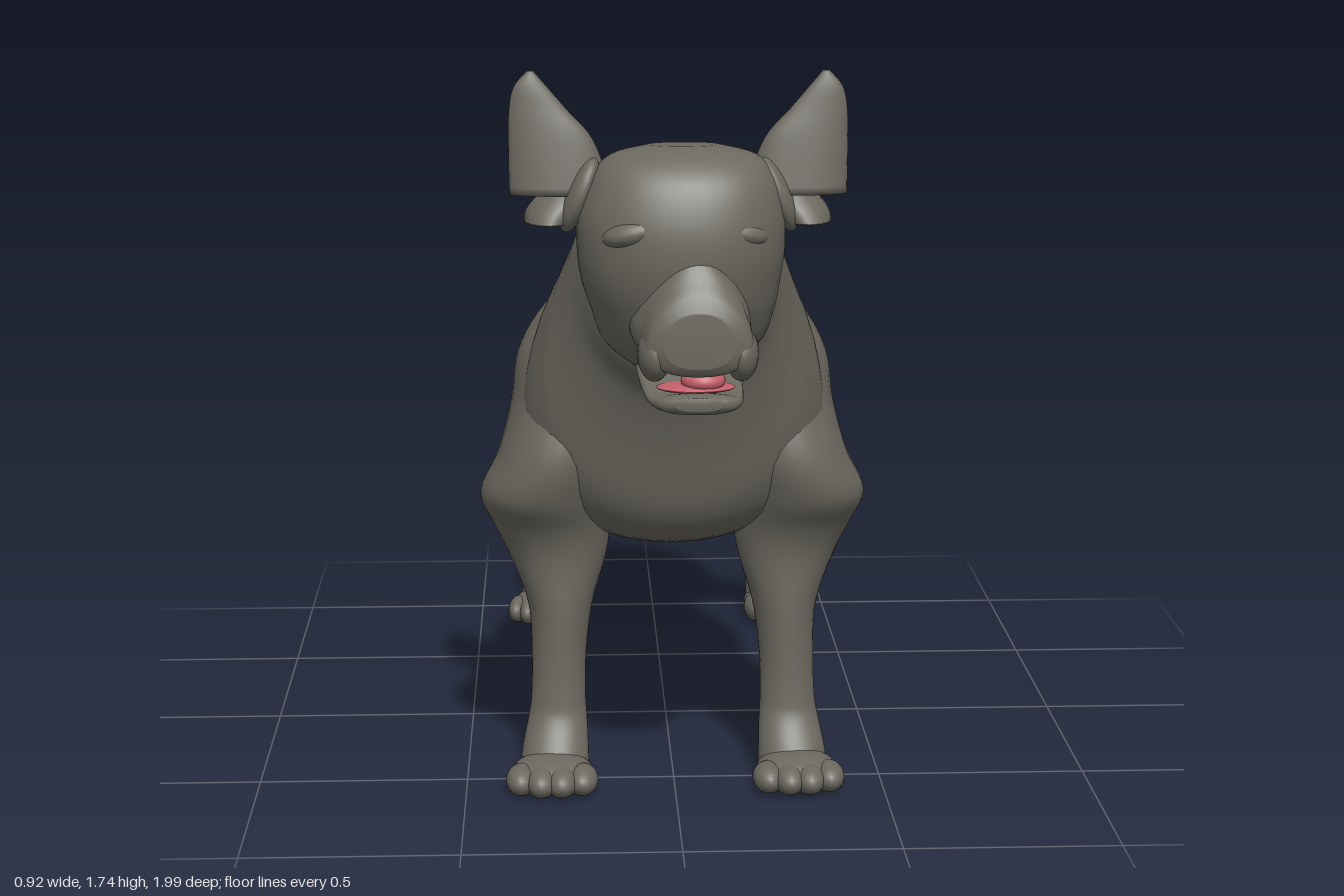
import * as THREE from 'three';

const coat = new THREE.MeshStandardMaterial({ color: 0x6b685f });
coat.name = 'coat';
const pink = new THREE.MeshStandardMaterial({ color: 0xc4606a });
pink.name = 'tonguePink';

// Catmull-Rom blend of one column of neighbouring rows
const blend = (a, b, c, d, t) =>
  0.5 * (2 * b + (c - a) * t + (2 * a - 5 * b + 4 * c - d) * t * t + (3 * b - a - 3 * c + d) * t * t * t);

// Smooth closed skin through cross-sections [position, centreX, halfWidth, high, low, taper].
// Axis 'z': rows run back to front, high/low are y. Axis 'y': rows run downwards, high/low are z.
function loft(axis, rows, { steps = 5, sides = 36, power = 1 } = {}) {
  const rings = [];
  const at = (i) => rows[Math.min(Math.max(i, 0), rows.length - 1)];
  for (let i = 0; i < rows.length - 1; i++) {
    for (let s = 0; s < steps; s++) {
      rings.push([0, 1, 2, 3, 4, 5].map((k) =>
        blend(at(i - 1)[k] ?? 0, at(i)[k] ?? 0, at(i + 1)[k] ?? 0, at(i + 2)[k] ?? 0, s / steps)));
    }
  }
  rings.push([0, 1, 2, 3, 4, 5].map((k) => at(rows.length)[k] ?? 0));

  const pos = [], index = [];
  const put = (x, q, p) => (axis === 'z' ? pos.push(x, q, p) : pos.push(x, p, q));
  const round = (v) => Math.sign(v) * Math.abs(v) ** power;
  for (const [p, cx, hw, hi, lo, taper] of rings) {
    for (let j = 0; j < sides; j++) {
      const t = (j / sides) * Math.PI * 2, c = round(Math.cos(t)), s = round(Math.sin(t));
      put(cx + hw * c * (1 - taper * s), (hi + lo) / 2 + ((hi - lo) / 2) * s, p);
    }
  }
  const last = rings.length - 1, poleA = rings.length * sides, poleB = poleA + 1;
  for (const r of [rings[0], rings[last]]) put(r[1], (r[3] + r[4]) / 2, r[0]);
  for (let j = 0; j < sides; j++) {
    const k = (j + 1) % sides;
    index.push(poleA, k, j, poleB, last * sides + j, last * sides + k);
    for (let i = 0; i < last; i++) {
      const a = i * sides + j, b = i * sides + k;
      index.push(a, b, a + sides, b, b + sides, a + sides);
    }
  }
  const geo = new THREE.BufferGeometry();
  geo.setAttribute('position', new THREE.Float32BufferAttribute(pos, 3));
  geo.setIndex(index);
  geo.computeVertexNormals();
  return geo;
}

function add(parent, name, geo, material = coat) {
  const mesh = new THREE.Mesh(geo, material);
  mesh.name = name;
  parent.add(mesh);
  return mesh;
}

function blob(parent, name, [x, y, z], [sx, sy, sz], material = coat) {
  const mesh = add(parent, name, new THREE.SphereGeometry(1, 24, 16), material);
  mesh.position.set(x, y, z);
  mesh.scale.set(sx, sy, sz);
  return mesh;
}

const mirror = (rows, side) => rows.map(([p, cx, ...rest]) => [p, cx * side, ...rest]);

// Paw: a flattened pad with four close-set toes
function paw(parent, name, x, z, width, turn) {
  const g = new THREE.Group();
  g.name = name;
  g.position.set(x, 0, z);
  g.rotation.y = turn;
  blob(g, 'pad', [0, 0.042, 0.01], [width * 0.88, 0.042, 0.095]);
  for (let i = 0; i < 4; i++) {
    const u = (i - 1.5) / 1.5;
    blob(g, 'toe', [u * width * 0.66, 0.036, 0.073 - 0.02 * u * u], [width * 0.34, 0.036, 0.06]);
  }
  parent.add(g);
}

export function createModel() {
  const dog = new THREE.Group();
  dog.name = 'dog';

  // Trunk, chest and neck
  add(dog, 'body', loft('z', [
    [-0.822, 0, 0.05, 1.02, 0.86], [-0.805, 0, 0.14, 1.08, 0.81], [-0.76, 0, 0.22, 1.14, 0.76],
    [-0.62, 0, 0.268, 1.2, 0.72], [-0.48, 0, 0.24, 1.225, 0.71], [-0.35, 0, 0.19, 1.233, 0.69],
    [-0.2, 0, 0.238, 1.215, 0.65], [0, 0, 0.332, 1.19, 0.58], [0.1, 0, 0.343, 1.205, 0.545],
    [0.2, 0, 0.338, 1.24, 0.537, 0.05], [0.35, 0, 0.355, 1.325, 0.55, 0.16], [0.5, 0, 0.345, 1.44, 0.6, 0.22],
    [0.58, 0, 0.31, 1.495, 0.68, 0.17], [0.63, 0, 0.272, 1.525, 0.84, 0.1], [0.68, 0, 0.24, 1.54, 0.97],
    [0.74, 0, 0.2, 1.55, 1.04], [0.8, 0, 0.12, 1.5, 1.15],
  ], { sides: 48, power: 0.95 }));
  blob(dog, 'sheath', [0, 0.69, -0.3], [0.035, 0.035, 0.07]).rotation.x = -0.45;

  // Docked tail
  add(dog, 'tailStub', loft('y', [
    [1.043, 0, 0.055, -0.81, -0.862], [1.025, 0, 0.058, -0.77, -0.848],
    [0.95, 0, 0.06, -0.77, -0.836], [0.89, 0, 0.045, -0.77, -0.838], [0.86, 0, 0.015, -0.79, -0.83],
  ]));

  // Head
  const head = new THREE.Group();
  head.name = 'head';
  dog.add(head);
  add(head, 'skull', loft('y', [
    [1.572, 0.01, 0.08, 0.79, 0.7], [1.55, 0.01, 0.165, 0.855, 0.65], [1.5, 0.01, 0.208, 0.908, 0.6],
    [1.42, 0.005, 0.232, 0.938, 0.57], [1.34, 0.005, 0.234, 0.945, 0.55], [1.27, 0.005, 0.225, 0.935, 0.54],
    [1.2, 0.01, 0.208, 0.91, 0.54], [1.12, 0.01, 0.175, 0.86, 0.57], [1.05, 0.005, 0.08, 0.78, 0.64],
  ], { power: 0.93 }));
  add(head, 'muzzle', loft('z', [
    [0.78, 0.01, 0.14, 1.38, 1.1], [0.87, 0.02, 0.125, 1.38, 1.1, 0.35], [0.93, 0.03, 0.113, 1.345, 1.092, 0.38],
    [0.965, 0.035, 0.114, 1.295, 1.09, 0.28], [0.985, 0.035, 0.108, 1.265, 1.09, 0.2],
    [1.0, 0.035, 0.075, 1.23, 1.11, 0.1],
  ], { power: 0.88 }));
  add(head, 'lowerJaw', loft('z', [
    [0.7, 0, 0.1, 1.12, 1.05], [0.8, 0.02, 0.115, 1.085, 1.035], [0.9, 0.03, 0.108, 1.045, 1.008],
    [0.96, 0.035, 0.09, 1.048, 1.0], [0.985, 0.035, 0.05, 1.042, 1.012],
  ], { power: 0.85 }));
  blob(head, 'tongue', [0.048, 1.066, 0.9], [0.05, 0.028, 0.05], pink);
  blob(head, 'mouthFloor', [0.032, 1.05, 0.895], [0.088, 0.01, 0.06], pink);
  blob(head, 'nose', [0.035, 1.222, 0.972], [0.06, 0.034, 0.027]);

  for (const side of [1, -1]) {
    const lean = side * 0.008;
    blob(head, 'brow', [0.01 + side * 0.112, 1.395, 0.866 - lean], [0.075, 0.035, 0.06]).rotation.z = -side * 0.25;
    blob(head, 'eye', [0.01 + side * 0.11, 1.35, 0.89], [0.032, 0.02, 0.03]);
    blob(head, 'upperLip', [0.035 + side * 0.096, 1.132, 0.925], [0.038, 0.062, 0.07]);
    blob(head, 'earFold', [side * 0.222, 1.46, 0.75], [0.03, 0.09, 0.06]).rotation.z = side * 0.4;

    // Upright ear blade with a drooping flap beneath it
    add(head, 'ear', loft('y', mirror([
      [1.735, 0.33, 0.007, 0.735, 0.72], [1.7, 0.33, 0.037, 0.745, 0.715], [1.65, 0.314, 0.064, 0.753, 0.712],
      [1.58, 0.285, 0.095, 0.764, 0.705], [1.46, 0.263, 0.116, 0.78, 0.695],
    ], side), { sides: 28 }));
    add(head, 'earFlap', loft('y', mirror([
      [1.475, 0.23, 0.06, 0.76, 0.65], [1.45, 0.25, 0.07, 0.77, 0.63],
      [1.42, 0.275, 0.068, 0.785, 0.605], [1.395, 0.29, 0.058, 0.795, 0.59],
    ], side), { sides: 24 }));

    // Front leg from shoulder blade to wrist
    add(dog, 'frontLeg', loft('y', mirror([
      [1.26, 0.12, 0.07, 0.47, 0.34], [1.15, 0.19, 0.115, 0.52, 0.27], [1.04, 0.23, 0.138, 0.55, 0.23],
      [0.92, 0.25, 0.136, 0.575, 0.22],
      [0.8, 0.28, 0.138, 0.6, 0.24], [0.7, 0.31, 0.152, 0.58, 0.245], [0.62, 0.292, 0.142, 0.53, 0.25],
      [0.54, 0.277, 0.118, 0.508, 0.275], [0.42, 0.272, 0.078, 0.51, 0.31], [0.3, 0.276, 0.066, 0.51, 0.36],
      [0.2, 0.278, 0.066, 0.515, 0.4], [0.15, 0.28, 0.071, 0.525, 0.412], [0.08, 0.286, 0.08, 0.565, 0.425],
      [0.03, 0.288, 0.082, 0.59, 0.43], [0.006, 0.288, 0.07, 0.58, 0.45],
    ], side)));
    paw(dog, 'frontPaw', side * 0.293, 0.555, 0.11, side * 0.03);

    // Hind leg from thigh through hock to ankle
    add(dog, 'hindLeg', loft('y', mirror([
      [1.12, 0.09, 0.06, -0.57, -0.73], [0.98, 0.148, 0.113, -0.47, -0.797], [0.85, 0.168, 0.122, -0.43, -0.835],
      [0.74, 0.18, 0.112, -0.455, -0.843], [0.6, 0.2, 0.09, -0.53, -0.834], [0.5, 0.225, 0.073, -0.615, -0.837],
      [0.42, 0.25, 0.061, -0.7, -0.875], [0.35, 0.268, 0.055, -0.77, -0.945], [0.315, 0.278, 0.052, -0.805, -0.992],
      [0.25, 0.293, 0.048, -0.85, -0.972], [0.16, 0.312, 0.046, -0.875, -0.957], [0.08, 0.325, 0.056, -0.86, -0.96],
      [0.03, 0.328, 0.058, -0.85, -0.962], [0.006, 0.328, 0.05, -0.86, -0.95],
    ], side)));
    paw(dog, 'hindPaw', side * 0.333, -0.89, 0.08, side * 0.15);
  }
  return dog;
}
